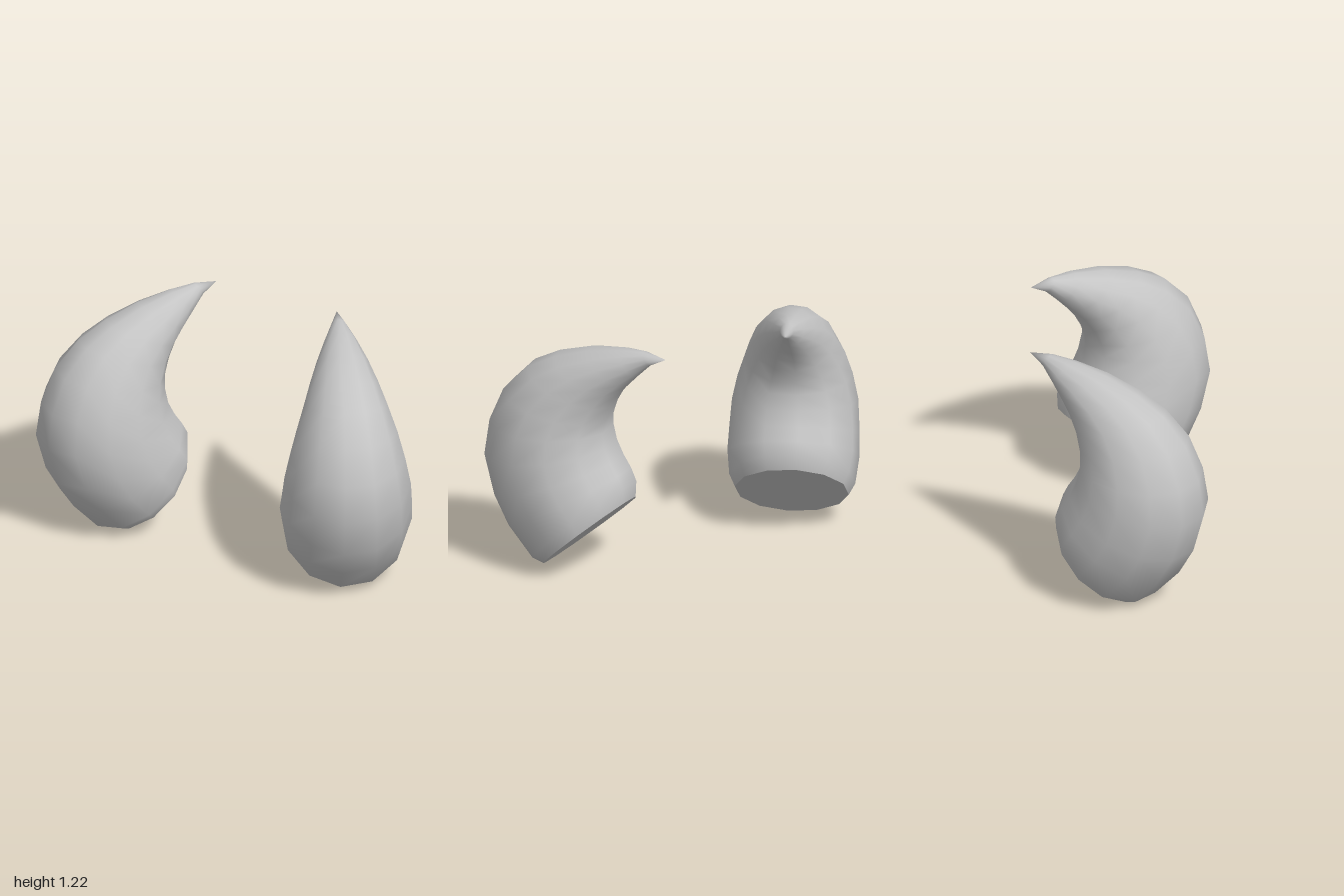
import * as THREE from 'three';

const SIDES = 12;
const PHASE = 0.75; // twist of the rings, in sides
// Bend plane of the left horn: u runs outward and forward, w across it
const ANGLE = THREE.MathUtils.degToRad(32);
const SIN = Math.sin(ANGLE), COS = Math.cos(ANGLE), OFFSET = 0.522;

// Rings from base to tip: outer ridge u, y, inner ridge u, y, half width across
const RINGS = [
  [0.455, -0.005, 0.02, 0.39, 0.285],
  [0.515, 0.015, 0.02, 0.47, 0.315],
  [0.655, 0.17, 0.05, 0.53, 0.33],
  [0.74, 0.32, 0.09, 0.59, 0.325],
  [0.8, 0.53, 0.125, 0.66, 0.315],
  [0.775, 0.72, 0.14, 0.74, 0.287],
  [0.7, 0.9, 0.135, 0.8, 0.252],
  [0.57, 1.035, 0.105, 0.88, 0.208],
  [0.42, 1.115, 0.065, 0.95, 0.17],
  [0.235, 1.175, 0.015, 1.01, 0.127],
  [0.055, 1.205, -0.045, 1.075, 0.08],
  [-0.075, 1.212, -0.115, 1.145, 0.035],
];
const TIP = [-0.2, 1.19];

// Bend-plane coordinates to model space, mirrored by side
const place = (u, y, w, side) => [side * (SIN * u + COS * (w + OFFSET)), y, COS * u - SIN * (w + OFFSET)];

function ringPoints([uo, yo, ui, yi, width], side) {
  const cu = (uo + ui) / 2, cy = (yo + yi) / 2;
  const eu = (uo - ui) / 2, ey = (yo - yi) / 2;
  const points = [];
  for (let j = 0; j < SIDES; j++) {
    const a = ((j + PHASE) / SIDES) * Math.PI * 2;
    points.push(place(cu + eu * Math.cos(a), cy + ey * Math.cos(a), width * Math.sin(a), side));
  }
  return points;
}

function makeGeometry(points, faces, side) {
  const geometry = new THREE.BufferGeometry();
  geometry.setAttribute('position', new THREE.Float32BufferAttribute(points.flat(), 3));
  geometry.setIndex(faces.flatMap(([a, b, c]) => (side > 0 ? [a, b, c] : [a, c, b])));
  geometry.computeVertexNormals();
  return geometry;
}

// Smooth curved body with a rounded lip, closing to a point
function hornBody(side) {
  const points = RINGS.flatMap((ring) => ringPoints(ring, side));
  points.push(place(TIP[0], TIP[1], 0, side));
  const faces = [];
  for (let i = 0; i < RINGS.length; i++) {
    for (let j = 0; j < SIDES; j++) {
      const a = i * SIDES + j, b = i * SIDES + ((j + 1) % SIDES);
      if (i === RINGS.length - 1) faces.push([a, b, points.length - 1]);
      else faces.push([a, b, b + SIDES], [a, b + SIDES, a + SIDES]);
    }
  }
  return makeGeometry(points, faces, side);
}

// Flat twelve-sided base
function hornBase(side) {
  const [uo, yo, ui, yi] = RINGS[0];
  const points = ringPoints(RINGS[0], side);
  points.push(place((uo + ui) / 2, (yo + yi) / 2, 0, side));
  const faces = points.slice(0, SIDES).map((_, j) => [SIDES, (j + 1) % SIDES, j]);
  return makeGeometry(points, faces, side);
}

export function createModel() {
  const model = new THREE.Group();
  model.name = 'pairOfHorns';
  const hornGrey = new THREE.MeshStandardMaterial({ color: 0xc4c4c4 });
  hornGrey.name = 'hornGrey';

  for (const [name, side] of [['left', 1], ['right', -1]]) {
    const horn = new THREE.Group();
    horn.name = name + 'Horn';
    const body = new THREE.Mesh(hornBody(side), hornGrey);
    body.name = name + 'HornBody';
    const base = new THREE.Mesh(hornBase(side), hornGrey);
    base.name = name + 'HornBase';
    horn.add(body, base);
    model.add(horn);
  }
  return model;
}
